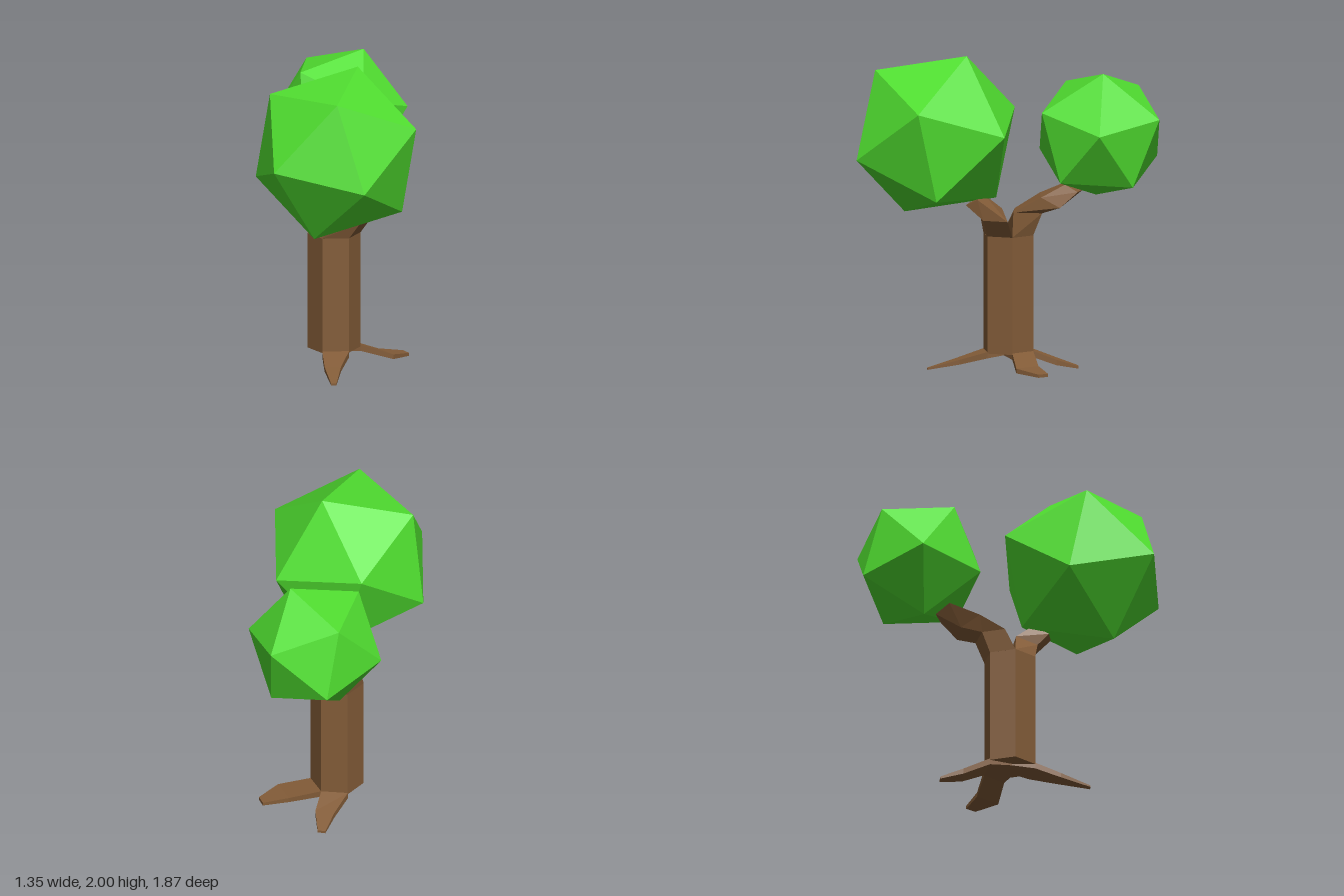
import * as THREE from 'three';

const bark = new THREE.MeshStandardMaterial({ color: 0x835c38 });
bark.name = 'bark brown';
const leaf = new THREE.MeshStandardMaterial({ color: 0x50de30 });
leaf.name = 'leaf green';

function addMesh(group, name, geometry, material) {
  const mesh = new THREE.Mesh(geometry, material);
  mesh.name = name;
  group.add(mesh);
  return mesh;
}

// Faceted skin over rings of points, closed at both ends
function loft(rings) {
  const out = [];
  const tri = (a, b, c) => out.push(...a, ...b, ...c);
  const n = rings[0].length;
  for (let r = 0; r < rings.length - 1; r++) {
    const lo = rings[r], hi = rings[r + 1];
    for (let i = 0; i < n; i++) {
      const j = (i + 1) % n;
      tri(lo[i], lo[j], hi[j]);
      tri(lo[i], hi[j], hi[i]);
    }
  }
  const first = rings[0], last = rings[rings.length - 1];
  for (let i = 1; i < n - 1; i++) {
    tri(first[0], first[i + 1], first[i]);
    tri(last[0], last[i], last[i + 1]);
  }
  const geometry = new THREE.BufferGeometry();
  geometry.setAttribute('position', new THREE.Float32BufferAttribute(out, 3));
  geometry.computeVertexNormals();
  return geometry;
}

// Root station: [ax, az, bx, bz, top, bottom]
function rootGeometry(stations) {
  return loft(stations.map(([ax, az, bx, bz, top, bot]) => [
    [ax, top, az], [ax, bot, az], [bx, bot, bz], [bx, top, bz],
  ]));
}

// Icosahedron turned so that two neighbouring corners point along u and v
function foliage(group, name, center, radius, u, v) {
  const a = new THREE.Vector3(...u).normalize();
  const b = new THREE.Vector3(...v).normalize();
  const y = a.clone().add(b).normalize();
  const x = b.clone().sub(a).normalize();
  const z = new THREE.Vector3().crossVectors(x, y);
  const geometry = new THREE.IcosahedronGeometry(radius, 0);
  geometry.applyMatrix4(new THREE.Matrix4().makeBasis(x, y, z));
  addMesh(group, name, geometry, leaf).position.set(...center);
}

export function createModel() {
  const tree = new THREE.Group();
  tree.name = 'tree';

  // Six-sided trunk
  const trunk = new THREE.CylinderGeometry(0.167, 0.167, 0.74, 6).toNonIndexed();
  trunk.computeVertexNormals();
  addMesh(tree, 'trunk', trunk, bark).position.set(-0.055, 0.48, 0);

  // Roots
  addMesh(tree, 'frontRoot', rootGeometry([
    [-0.1, 0.03, 0.0, -0.03, 0.115, 0.1],
    [-0.055, 0.167, 0.09, 0.083, 0.12, 0.08],
    [0.03, 0.31, 0.12, 0.26, 0.065, 0.035],
    [0.15, 0.465, 0.18, 0.45, 0.01, 0],
  ]), bark);
  addMesh(tree, 'backLeftRoot', rootGeometry([
    [0.0, 0.03, -0.1, -0.03, 0.115, 0.1],
    [0.09, -0.083, -0.055, -0.167, 0.12, 0.08],
    [0.27, -0.18, 0.12, -0.27, 0.055, 0.025],
    [0.3, -0.34, 0.24, -0.38, 0.03, 0.01],
  ]), bark);
  addMesh(tree, 'backRightRoot', rootGeometry([
    [0.0, -0.03, -0.1, 0.03, 0.115, 0.1],
    [-0.055, -0.167, -0.2, -0.083, 0.12, 0.08],
    [-0.11, -0.3, -0.22, -0.25, 0.065, 0.03],
    [-0.21, -0.41, -0.255, -0.39, 0.015, 0],
  ]), bark);

  // Branches, each growing from half of the trunk top
  addMesh(tree, 'frontBranch', loft([
    [[-0.2, 0.85, 0.083], [-0.055, 0.85, 0.167], [0.09, 0.85, 0.083], [0.09, 0.85, -0.083]],
    [[-0.05, 1.01, 0.04], [0.03, 0.97, 0.155], [0.17, 0.96, 0.08], [0.17, 0.96, -0.083]],
    [[0.02, 1.1, 0.13], [0.06, 1.05, 0.22], [0.16, 1.05, 0.2], [0.17, 1.09, 0.12]],
  ]), bark);
  addMesh(tree, 'backBranch', loft([
    [[0.09, 0.85, -0.083], [-0.055, 0.85, -0.167], [-0.2, 0.85, -0.083], [-0.2, 0.85, 0.083]],
    [[0.09, 1.01, -0.09], [-0.07, 0.99, -0.22], [-0.215, 0.99, -0.13], [-0.215, 0.99, 0.02]],
    [[0.0, 1.1, -0.24], [-0.07, 1.03, -0.34], [-0.24, 1.03, -0.26], [-0.26, 1.09, -0.13]],
    [[-0.13, 1.17, -0.35], [-0.17, 1.12, -0.42], [-0.29, 1.12, -0.41], [-0.32, 1.17, -0.31]],
  ]), bark);

  // Leaf crowns
  foliage(tree, 'largeCrown', [0.155, 1.49, 0.405], 0.557,
    [0.04, 0.51, -0.225], [0.515, 0.19, -0.083]);
  foliage(tree, 'smallCrown', [-0.275, 1.477, -0.525], 0.432,
    [0.135, 0.403, -0.077], [0.397, 0.045, -0.155]);

  return tree;
}
